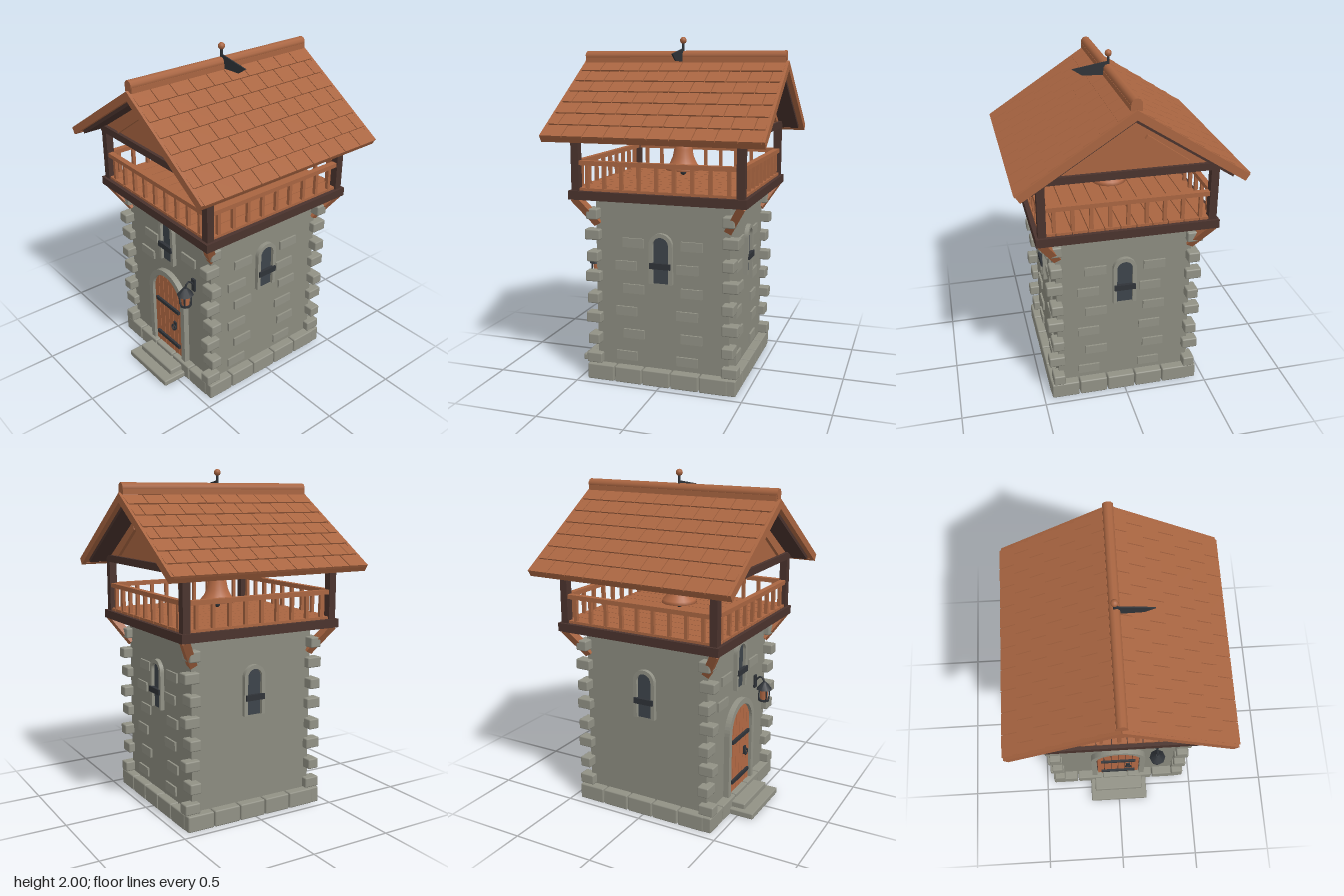
import * as THREE from 'three';
import { RoundedBoxGeometry } from 'three/addons/geometries/RoundedBoxGeometry.js';

const mat = (name, color, extra = {}) => new THREE.MeshStandardMaterial({ name, color, ...extra });

export function createModel() {
  const M = {
    wall: mat('wall stone', 0x8b8b7f),
    stone: mat('trim stone', 0x919185),
    wood: mat('terracotta wood', 0xa96541),
    door: mat('door wood', 0xb46a45),
    dark: mat('dark timber', 0x4a332d),
    iron: mat('iron', 0x2f3338),
    glass: mat('window glass', 0x3d444b),
  };
  const root = new THREE.Group();
  root.name = 'bellTower';

  const group = (name, parent = root) => {
    const g = new THREE.Group();
    g.name = name;
    parent.add(g);
    return g;
  };
  const add = (parent, name, geo, m, x = 0, y = 0, z = 0) => {
    const mesh = new THREE.Mesh(geo, m);
    mesh.name = name;
    mesh.position.set(x, y, z);
    parent.add(mesh);
    return mesh;
  };
  const box = (p, name, m, w, h, d, x, y, z) => add(p, name, new THREE.BoxGeometry(w, h, d), m, x, y, z);
  const block = (p, name, m, w, h, d, x, y, z) =>
    add(p, name, new RoundedBoxGeometry(w, h, d, 1, 0.008), m, x, y, z);
  const extrude = (shape, depth) => new THREE.ExtrudeGeometry(shape, { depth, bevelEnabled: false, curveSegments: 14 });
  const cyl = (r1, r2, h, n = 12) => new THREE.CylinderGeometry(r1, r2, h, n);

  // Arched plate, or an arched frame when an inner radius is given
  const arch = (r, y0, yc, inner) => {
    const s = new THREE.Shape();
    s.moveTo(-r, y0).lineTo(-r, yc).absarc(0, yc, r, Math.PI, 0, true).lineTo(r, y0);
    if (inner) s.lineTo(inner, y0).lineTo(inner, yc).absarc(0, yc, inner, 0, Math.PI, false).lineTo(-inner, y0);
    s.closePath();
    return s;
  };

  // Tower body
  box(root, 'towerWall', M.wall, 0.8, 1.09, 0.8, 0, 0.547, 0);

  // Base course and corner stones
  const base = group('baseCourse');
  const quoins = group('cornerStones');
  for (let f = 0; f < 4; f++) {
    const side = group('baseSide', base);
    side.rotation.y = f * Math.PI / 2;
    for (let i = 0; i < 5; i++)
      block(side, 'baseStone', M.stone, 0.166, 0.095, 0.08, -0.367 + i * 0.172, 0.0475, 0.413);
  }
  for (const sx of [-1, 1]) for (const sz of [-1, 1]) for (let i = 0; i < 8; i++) {
    const wide = i % 2 === 1;
    block(quoins, 'cornerStone', M.stone, wide ? 0.095 : 0.07, 0.062, wide ? 0.07 : 0.095,
      sx * (wide ? 0.412 : 0.404), 0.128 + i * 0.1245, sz * (wide ? 0.404 : 0.412));
  }

  // Windows and raised bricks, one group per wall
  const walls = ['front', 'right', 'back', 'left'].map((n, i) => {
    const g = group(n + 'WallDetails');
    g.rotation.y = i * Math.PI / 2;
    const y = n === 'front' ? 0.74 : 0.61;
    add(g, 'windowFrame', extrude(arch(0.07, y, y + 0.225, 0.047), 0.03), M.stone, 0, 0, 0.395);
    add(g, 'windowPane', extrude(arch(0.048, y, y + 0.225), 0.008), M.glass, 0, 0, 0.398);
    box(g, 'windowBar', M.iron, 0.125, 0.034, 0.02, 0, y + 0.107, 0.425);
    return g;
  });
  const brick = (g, x, y) => box(g, 'brick', M.stone, 0.128, 0.054, 0.02, x, y, 0.402);
  for (const [x, y] of [[-0.17, 0.845], [0.2, 0.845], [-0.215, 0.705]]) brick(walls[0], x, y);
  for (const g of [walls[1], walls[2]]) for (let i = 0; i < 6; i++) {
    brick(g, i % 2 ? -0.17 : -0.215, 0.155 + i * 0.1365);
    brick(g, i % 2 ? 0.18 : 0.155, 0.155 + i * 0.1365);
  }

  // Door with arch, planks, straps and handle
  const door = group('door');
  add(door, 'doorArch', extrude(arch(0.178, 0.04, 0.49, 0.143), 0.04), M.stone, 0, 0, 0.395);
  add(door, 'doorBacking', extrude(arch(0.143, 0.07, 0.49), 0.008), M.dark, 0, 0, 0.396);
  for (let i = 0; i < 6; i++) {
    const a = -0.14 + i * 0.0467 + 0.002, b = a + 0.0427;
    const top = x => 0.49 + Math.sqrt(Math.max(0, 0.0196 - x * x));
    const s = new THREE.Shape();
    s.moveTo(a, 0.085).lineTo(b, 0.085);
    for (let k = 0; k <= 4; k++) { const x = b + (a - b) * k / 4; s.lineTo(x, top(x)); }
    add(door, 'doorPlank', extrude(s, 0.018), M.door, 0, 0, 0.4);
  }
  for (const y of [0.165, 0.425]) box(door, 'doorStrap', M.iron, 0.23, 0.022, 0.016, 0, y, 0.424);
  box(door, 'handlePlate', M.iron, 0.026, 0.05, 0.01, 0.068, 0.31, 0.422);
  add(door, 'handleRing', new THREE.TorusGeometry(0.018, 0.005, 6, 14), M.iron, 0.068, 0.3, 0.434);

  // Door steps
  block(root, 'lowerStep', M.stone, 0.385, 0.038, 0.18, 0, 0.019, 0.51);
  block(root, 'upperStep', M.stone, 0.325, 0.072, 0.12, 0, 0.036, 0.475);

  // Wall lantern
  const lantern = group('lantern');
  lantern.position.set(0.245, 0, 0.468);
  box(lantern, 'wallPlate', M.iron, 0.03, 0.08, 0.012, 0, 0.70, -0.062);
  const hook = new THREE.QuadraticBezierCurve3(new THREE.Vector3(0, 0.7, -0.06),
    new THREE.Vector3(0, 0.77, -0.02), new THREE.Vector3(0, 0.7, 0));
  add(lantern, 'hook', new THREE.TubeGeometry(hook, 8, 0.006, 6), M.iron);
  add(lantern, 'lanternCap', cyl(0.012, 0.05, 0.045, 8), M.iron, 0, 0.682, 0);
  add(lantern, 'lanternBody', cyl(0.027, 0.024, 0.07, 8), M.door, 0, 0.625, 0);
  add(lantern, 'lanternBase', cyl(0.034, 0.034, 0.012, 8), M.iron, 0, 0.588, 0);
  for (const x of [-0.024, 0.024]) for (const z of [-0.024, 0.024])
    box(lantern, 'lanternBar', M.iron, 0.007, 0.075, 0.007, x, 0.627, z);

  // Gallery floor
  const gallery = group('gallery');
  box(gallery, 'platform', M.dark, 1.035, 0.05, 1.035, 0, 1.115, 0);
  for (let i = 0; i < 11; i++) box(gallery, 'floorPlank', M.wood, 0.085, 0.016, 0.99, -0.45 + i * 0.09, 1.147, 0);

  // Corner posts and diagonal struts
  for (const sx of [-1, 1]) for (const sz of [-1, 1]) {
    box(gallery, 'cornerPost', M.dark, 0.045, 0.33, 0.045, sx * 0.48, 1.3, sz * 0.48);
    const a = new THREE.Vector3(sx * 0.395, 0.95, sz * 0.395), b = new THREE.Vector3(sx * 0.485, 1.095, sz * 0.485);
    const strut = box(gallery, 'strut', M.wood, 0.045, a.distanceTo(b) + 0.02, 0.045, 0, 0, 0);
    strut.position.lerpVectors(a, b, 0.5);
    strut.quaternion.setFromUnitVectors(new THREE.Vector3(0, 1, 0), b.clone().sub(a).normalize());
  }

  // Railings and the beams above them
  for (let f = 0; f < 4; f++) {
    const side = group('railing', gallery);
    side.rotation.y = f * Math.PI / 2;
    box(side, 'handrail', M.wood, 0.93, 0.026, 0.034, 0, 1.298, 0.48);
    for (let i = 0; i < 9; i++) box(side, 'baluster', M.wood, 0.02, 0.14, 0.02, (i - 4) * 0.103, 1.22, 0.48);
    box(side, 'topBeam', M.dark, 1.01, 0.042, 0.05, 0, 1.464, 0.48);
  }

  // Bell on its beam
  const bell = group('bell');
  box(bell, 'bellBeam', M.dark, 0.455, 0.035, 0.06, 0, 1.43, 0);
  box(bell, 'beamSupport', M.dark, 0.05, 0.05, 0.96, 0, 1.462, 0);
  add(bell, 'bellHanger', cyl(0.025, 0.025, 0.04), M.iron, 0, 1.4, 0);
  const profile = [[0, 1.395], [0.03, 1.393], [0.047, 1.378], [0.055, 1.34], [0.064, 1.295], [0.082, 1.255],
    [0.1, 1.235], [0.106, 1.215], [0.092, 1.215], [0.05, 1.3], [0, 1.37]].map(p => new THREE.Vector2(...p)).reverse();
  add(bell, 'bellBody', new THREE.LatheGeometry(profile, 24),
    M.door).material.side = THREE.DoubleSide;
  add(bell, 'clapperRod', cyl(0.007, 0.007, 0.16, 8), M.iron, 0, 1.28, 0);
  add(bell, 'clapper', new THREE.SphereGeometry(0.018, 10, 8), M.iron, 0, 1.2, 0);

  // Roof slopes: local x runs down the slope
  const slopeAngle = 0.575, L = 0.745;
  for (const s of [1, -1]) {
    const half = group(s > 0 ? 'rightRoof' : 'leftRoof');
    half.rotation.y = s > 0 ? 0 : Math.PI;
    const slope = group('slope', half);
    slope.position.y = 1.865;
    slope.rotation.z = -slopeAngle;
    box(slope, 'roofUnderside', M.dark, L - 0.06, 0.022, 1.2, (L - 0.06) / 2, -0.053, 0);
    box(slope, 'roofDeck', M.wood, L - 0.01, 0.026, 1.22, (L - 0.01) / 2, -0.031, 0);
    box(slope, 'eaveBoard', M.wood, 0.024, 0.04, 1.25, L - 0.012, -0.026, 0);
    for (const e of [-1, 1]) box(slope, 'bargeBoard', M.wood, L, 0.044, 0.022, L / 2, -0.024, e * 0.62);
    // Overlapping shingles, every second row shifted by half
    const rows = 7, step = L / rows, w = 0.1235, edge = w * 5;
    for (let r = 0; r < rows; r++) for (let c = 0; c <= 10; c++) {
      const z0 = Math.max(-edge, -edge + (c - (r % 2) / 2) * w), z1 = Math.min(edge, -edge + (c + 1 - (r % 2) / 2) * w);
      if (z1 - z0 < 0.01) continue;
      const tile = box(slope, 'shingle', M.wood, step + 0.012, 0.014, z1 - z0 - 0.005,
        (r + 0.5) * step, -0.008, (z0 + z1) / 2);
      tile.rotation.z = 0.07;
    }
  }

  // Ridge
  box(root, 'ridgeBoard', M.wood, 0.06, 0.03, 1.23, 0, 1.868, 0);
  add(root, 'ridgePole', cyl(0.03, 0.03, 1.235, 10), M.wood, 0, 1.89, 0).rotation.x = Math.PI / 2;

  // Gable ends with slanted braces
  const tri = new THREE.Shape();
  tri.moveTo(-0.5, 1.47).lineTo(0.5, 1.47).lineTo(0, 1.793).closePath();
  for (const r of [0, Math.PI]) {
    const gable = group('gable');
    gable.rotation.y = r;
    add(gable, 'gablePanel', extrude(tri, 0.03), M.wood, 0, 0, 0.455);
    for (const s of [-1, 1])
      box(gable, 'gableBrace', M.wood, 0.29, 0.024, 0.025, s * 0.205, 1.583, 0.492).rotation.z = -s * 0.61;
  }

  // Weathervane
  const vane = group('weathervane');
  add(vane, 'vanePole', cyl(0.008, 0.008, 0.1, 8), M.iron, 0, 1.935, 0);
  add(vane, 'vaneBall', new THREE.SphereGeometry(0.02, 12, 8), M.wood, 0, 1.98, 0);
  const flag = new THREE.Shape();
  flag.moveTo(0, 1.935).lineTo(0.208, 1.9).lineTo(0.15, 1.862).lineTo(0.03, 1.858).closePath();
  add(vane, 'vaneFlag', extrude(flag, 0.008), M.iron, 0, 0, -0.004);

  return root;
}
